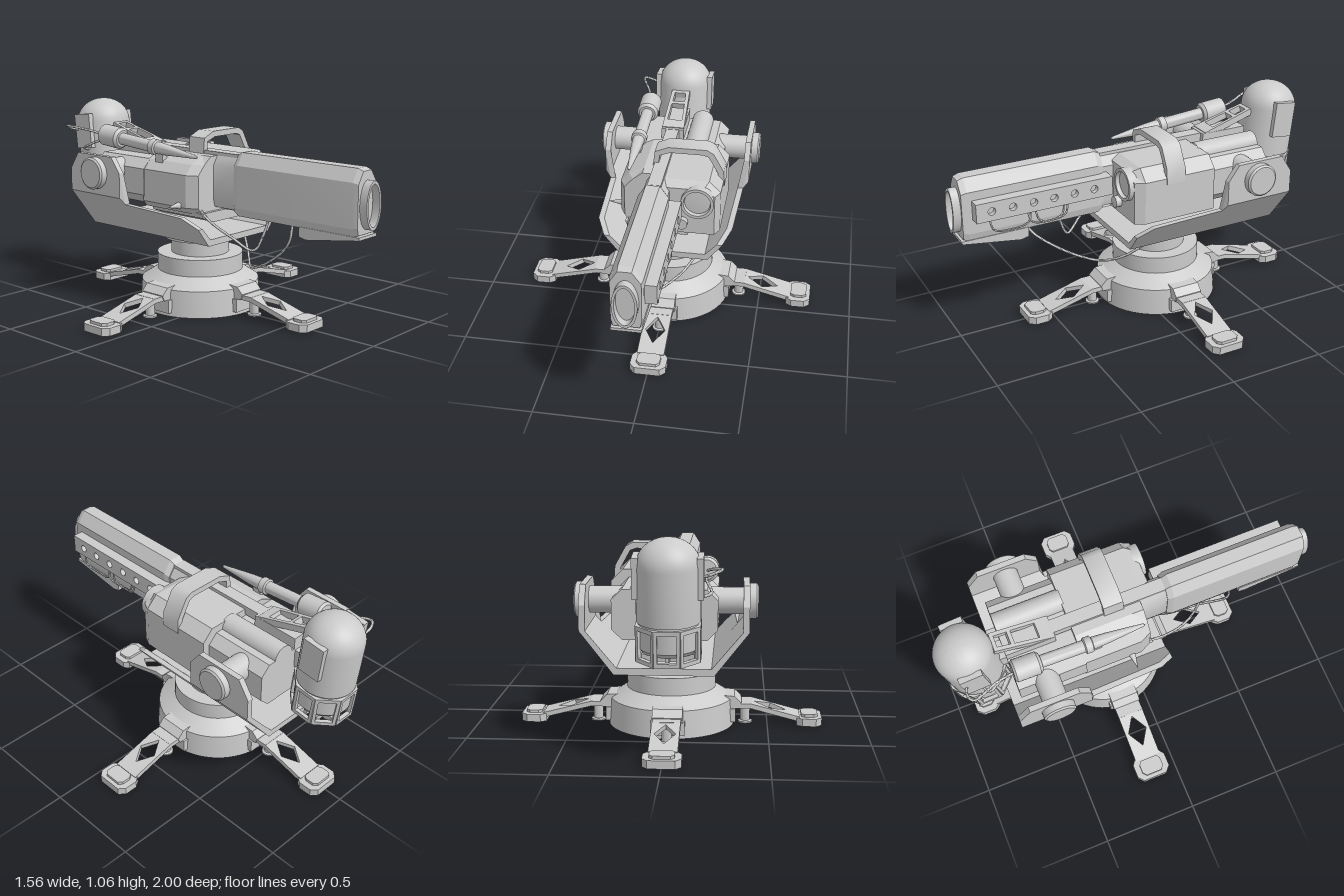
import * as THREE from 'three';
import { toCreasedNormals } from 'three/addons/utils/BufferGeometryUtils.js';

const MAT = new THREE.MeshStandardMaterial({ color: 0xcccccc, side: THREE.DoubleSide });
const V = (x, y, z) => new THREE.Vector3(x, y, z);

function add(parent, name, geo, x = 0, y = 0, z = 0, crease = 0.6) {
  const m = new THREE.Mesh(toCreasedNormals(geo, crease), MAT);
  m.name = name;
  m.position.set(x, y, z);
  parent.add(m);
  return m;
}
const box = (p, name, x0, x1, y0, y1, z0, z1) =>
  add(p, name, new THREE.BoxGeometry(x1 - x0, y1 - y0, z1 - z0), (x0 + x1) / 2, (y0 + y1) / 2, (z0 + z1) / 2);
const lathe = (pts, n = 48) => new THREE.LatheGeometry(pts.map(p => new THREE.Vector2(...p)), n);
const toPath = (pts, C = THREE.Path) => new C(pts.map(p => new THREE.Vector2(...p)));
const circle = (x, y, rx, ry = rx, n = 32) => Array.from({ length: n }, (_, i) => {
  const a = i / n * Math.PI * 2;
  return [x + Math.cos(a) * rx, y + Math.sin(a) * ry];
});
// Extrusion of an outline between two depths, with optional holes
function ext(pts, z0, z1, holes = []) {
  const s = toPath(pts, THREE.Shape);
  s.holes = holes.map(h => toPath(h));
  return new THREE.ExtrudeGeometry(s, { depth: z1 - z0, bevelEnabled: false }).translate(0, 0, z0);
}
// Turned part along z: list of [radius, z]
const turnedZ = (pts, n = 32) => lathe(pts, n).rotateX(Math.PI / 2);
const tube = (p, name, pts, r = 0.007) =>
  add(p, name, new THREE.TubeGeometry(new THREE.CatmullRomCurve3(pts.map(q => V(...q))), 40, r, 8), 0, 0, 0, 1);

// Closed skin through cross-sections {z, pts}, capped at both ends
function loft(sections) {
  const n = sections[0].pts.length, pos = [], idx = [];
  sections.forEach(s => s.pts.forEach(p => pos.push(p[0], p[1], s.z)));
  for (let k = 0; k < sections.length - 1; k++)
    for (let i = 0; i < n; i++) {
      const a = k * n + i, b = k * n + (i + 1) % n;
      idx.push(a, b, b + n, a, b + n, a + n);
    }
  const last = (sections.length - 1) * n;
  const cap = s => THREE.ShapeUtils.triangulateShape(s.pts.map(p => new THREE.Vector2(...p)), []);
  cap(sections[0]).forEach(([a, b, c]) => idx.push(c, b, a));
  cap(sections[sections.length - 1]).forEach(t => idx.push(...t.map(i => i + last)));
  const g = new THREE.BufferGeometry();
  g.setAttribute('position', new THREE.Float32BufferAttribute(pos, 3));
  g.setIndex(idx);
  return g.toNonIndexed();
}

function makeLeg() {
  const leg = new THREE.Group();
  leg.name = 'leg';
  box(leg, 'legRoot', 0.27, 0.42, 0.09, 0.115, -0.07, 0.07);
  // Sloping strut with a diamond opening
  const strut = ext([[0, -0.07], [0.26, -0.07], [0.26, 0.07], [0, 0.07]], -0.025, 0,
    [[[0.02, 0], [0.105, -0.052], [0.19, 0], [0.105, 0.052]]]);
  add(leg, 'legStrut', strut.rotateX(-Math.PI / 2).rotateZ(-0.255), 0.415, 0.115, 0);
  const foot = [[0.65, -0.07], [0.68, -0.092], [0.75, -0.092], [0.78, -0.065], [0.78, 0.065], [0.75, 0.092], [0.68, 0.092], [0.65, 0.07]];
  add(leg, 'foot', ext(foot, 0.005, 0.045).rotateX(-Math.PI / 2));
  add(leg, 'footPad', ext(foot.map(([x, y]) => [0.72 + (x - 0.72) * 0.65, y * 0.65]), 0.04, 0.06).rotateX(-Math.PI / 2));
  add(leg, 'legPeg', lathe([[0, 0], [0.037, 0], [0.037, 0.008], [0.025, 0.012], [0.025, 0.1]], 20), 0.385, 0, 0);
  // Boss where the leg meets the base
  add(leg, 'legBoss', ext([[0.2, 0.09], [0.355, 0.09], [0.365, 0.12], [0.33, 0.155], [0.2, 0.165]], -0.075, 0.075));
  box(leg, 'bossFace', 0.3, 0.335, 0.02, 0.09, -0.085, 0.085);
  return leg;
}

function makeTank() {
  const tank = new THREE.Group();
  tank.name = 'tank';
  tank.position.set(-0.03, 0.93, -0.85);
  tank.rotation.x = -0.11;
  const profile = [[0, -0.39], [0.125, -0.39], [0.14, -0.37], [0.14, -0.25], [0.147, -0.25], [0.147, 0]];
  for (let i = 1; i <= 10; i++) profile.push([0.147 * Math.cos(i * Math.PI / 20), 0.13 * Math.sin(i * Math.PI / 20)]);
  add(tank, 'tankShell', lathe(profile));
  for (const s of [-1, 1]) box(tank, 'tankSidePanel', s * 0.145 - 0.015, s * 0.145 + 0.015, -0.14, 0.05, -0.06, 0.06);
  // Ring of window frames around the lower end
  for (let i = 0; i < 8; i++) {
    const f = add(tank, 'cageFrame', ext([[-0.058, -0.43], [0.058, -0.43], [0.06, -0.26], [-0.06, -0.26]], 0.128, 0.148,
      [[[-0.042, -0.41], [0.042, -0.41], [0.044, -0.28], [-0.044, -0.28]]]));
    f.rotation.y = i * Math.PI / 4;
  }
  for (const o of [-0.06, 0, 0.06]) {
    box(tank, 'grilleBar', o - 0.009, o + 0.009, -0.425, -0.39, -0.12, 0.12);
    box(tank, 'grilleBar', -0.12, 0.12, -0.425, -0.39, o - 0.009, o + 0.009);
  }
  return tank;
}

export function createModel() {
  const root = new THREE.Group();
  root.name = 'turret';

  // Stepped round base and four legs
  const base = new THREE.Group();
  base.name = 'base';
  base.position.z = -0.128;
  add(base, 'pedestal', lathe([[0, 0], [0.325, 0], [0.315, 0.14], [0.23, 0.195], [0.23, 0.285], [0.155, 0.285],
    [0.155, 0.365], [0.19, 0.365], [0.19, 0.392], [0, 0.392]], 64), 0, 0, 0, 0.4);
  for (let i = 0; i < 4; i++) {
    const leg = makeLeg();
    leg.rotation.y = i * Math.PI / 2;
    base.add(leg);
  }
  root.add(base);

  // U-shaped cradle: each section is cut off at its own height
  const uSection = (z, top) => {
    const kneeY = Math.min(top, 0.6);
    const slope = x0 => x0 - (0.6 - kneeY) * 0.78;
    const o = slope(0.397), i = slope(0.367);
    const half = [[0.235, 0.392], [o, kneeY], [o, top], [i, top], [i, kneeY], [0.222, 0.425]];
    return { z, pts: [...half, ...half.map(([x, y]) => [-x, y]).reverse()] };
  };
  add(root, 'cradle', loft([[-0.71, 0.72], [-0.65, 0.81], [-0.39, 0.81], [-0.33, 0.73], [-0.315, 0.565], [0.07, 0.545], [0.15, 0.49]]
    .map(a => uSection(...a))), 0, 0, 0, 0.3);
  for (const s of [-1, 1]) {
    const t = add(root, 'trunnion', lathe([[0.065, 0.1], [0.065, 0.395], [0.085, 0.395], [0.085, 0.43], [0.075, 0.438], [0, 0.438]], 32)
      .rotateZ(-Math.PI / 2), 0, 0.715, -0.51);
    if (s < 0) t.rotation.y = Math.PI;
  }

  // Gun housing
  add(root, 'housingLeft', loft([[-0.31, 0], [0.09, 0], [0.14, 0.025]].map(([z, d]) => ({
    z, pts: [[-0.03, 0.545], [0.29 - d, 0.545], [0.29 - d, 0.77], [0.23 - d, 0.83 - d], [-0.03, 0.83 - d]] }))), 0, 0, 0, 0.2);
  add(root, 'housingRight', loft([[-0.31, 0], [0, 0], [0.06, 0.03]].map(([z, d]) => ({
    z, pts: [[-0.03, 0.54], [-0.22 + d, 0.54], [-0.245 + d, 0.57], [-0.245 + d, 0.74], [-0.2 + d, 0.79], [-0.12, 0.83], [-0.03, 0.83]].reverse() }))), 0, 0, 0, 0.2);
  add(root, 'rearBody', ext([[-0.2, 0.55], [0.2, 0.55], [0.25, 0.6], [0.25, 0.74], [0.2, 0.79], [-0.2, 0.79], [-0.25, 0.74], [-0.25, 0.6]], -0.66, -0.3));
  add(root, 'rearCylinder', turnedZ([[0, -0.66], [0.06, -0.66], [0.06, -0.3]]), 0.1, 0.785, 0);
  add(root, 'belly', ext([[-0.21, 0.545], [-0.2, 0.52], [-0.12, 0.49], [0.12, 0.49], [0.13, 0.52], [0.13, 0.545]], -0.28, 0.08));
  add(root, 'scope', turnedZ([[0.085, 0.08], [0.085, 0.165], [0.07, 0.165], [0.066, 0.145], [0, 0.15]]), 0.178, 0.735, 0);
  add(root, 'frontKnob', turnedZ([[0.03, 0.1], [0.03, 0.17], [0, 0.17]], 16), 0.1, 0.61, 0);
  // Arched guard over the housing
  add(root, 'topGuard', ext([[-0.08, 0.82], [-0.07, 0.91], [0, 0.94], [0.2, 0.94], [0.235, 0.92], [0.29, 0.82], [0.295, 0.74],
    [0.265, 0.74], [0.26, 0.81], [0.21, 0.9], [0.18, 0.91], [0.01, 0.91], [-0.045, 0.89], [-0.05, 0.82]], -0.135, -0.03));

  // Barrel
  const barrel = [[-0.1, 0.54], [0.035, 0.54], [0.045, 0.58], [0.045, 0.8], [0, 0.863], [-0.07, 0.863], [-0.11, 0.8], [-0.11, 0.58]];
  const shrunk = k => barrel.map(([x, y]) => [-0.033 + (x + 0.033) * k, 0.7 + (y - 0.7) * k]);
  add(root, 'barrel', loft([{ z: 0.2, pts: shrunk(0.9) }, { z: 0.23, pts: barrel }, { z: 0.93, pts: barrel }, { z: 0.96, pts: shrunk(0.93) }]), 0, 0, 0, 0.2);
  add(root, 'barrelNeck', ext(shrunk(0.85), 0, 0.21));
  add(root, 'muzzle', ext(circle(-0.032, 0.69, 0.06, 0.118), 0.94, 1, [circle(-0.032, 0.69, 0.047, 0.103)]));
  box(root, 'spine', -0.07, 0, 0.8, 0.848, -0.42, 0.2);
  // Wedge under the muzzle
  add(root, 'underWedge', ext([[-0.97, 0.545], [-0.97, 0.53], [-0.66, 0.485], [-0.62, 0.495], [-0.62, 0.545]], -0.105, 0.04).rotateY(Math.PI / 2));
  // Side panel with a row of holes
  const holes = [], zs = [0.83, 0.72, 0.61, 0.5, 0.39, 0.28];
  zs.forEach(z => holes.push(circle(-z, 0.705, 0.02, 0.02, 16)));
  add(root, 'sidePanel', ext([[-0.91, 0.655], [-0.18, 0.655], [-0.18, 0.755], [-0.91, 0.755]], 0.07, 0.102, holes).rotateY(Math.PI / 2));
  box(root, 'sidePanelBack', 0.03, 0.075, 0.655, 0.755, 0.18, 0.91);

  root.add(makeTank());

  // Slim emitter beside the spine
  const emitter = add(root, 'emitter', turnedZ([[0, -0.07], [0.045, -0.07], [0.058, -0.06], [0.058, 0.06], [0.045, 0.075], [0.032, 0.075],
    [0.032, 0.3], [0.042, 0.305], [0.042, 0.34], [0.032, 0.345], [0.028, 0.42], [0.008, 0.62], [0, 0.63]], 24), -0.195, 0.88, -0.59);
  emitter.rotation.x = 0.08;
  box(root, 'emitterPost', -0.21, -0.175, 0.62, 0.86, -0.25, -0.2);
  const spike = add(root, 'sideSpike', new THREE.ConeGeometry(0.02, 0.09, 12), -0.28, 0.578, -0.05);
  spike.rotation.z = Math.PI / 2;

  // Ladder bracket carrying the tank
  const bracket = new THREE.Group();
  bracket.name = 'tankBracket';
  bracket.position.set(-0.035, 0.84, -0.42);
  bracket.rotation.x = 0.28;
  add(bracket, 'bracketFrame', ext([[-0.06, 0], [0.06, 0], [0.05, 0.3], [-0.05, 0.3]], -0.02, 0.015,
    [[[-0.04, 0.06], [0.04, 0.06], [0.035, 0.19], [-0.035, 0.19]], [[-0.033, 0.21], [0.033, 0.21], [0.03, 0.28], [-0.03, 0.28]]]).rotateX(-Math.PI / 2));
  root.add(bracket);
  box(root, 'bracketBase', -0.095, 0.025, 0.77, 0.85, -0.66, -0.4);
  box(root, 'tankMount', -0.08, 0.02, 0.68, 0.78, -0.75, -0.62);

  // Cables and hoses
  tube(root, 'longCable', [[-0.09, 0.54, 0.57], [-0.1, 0.46, 0.56], [-0.04, 0.34, 0.42], [0.02, 0.247, 0.22], [0.11, 0.29, 0.12], [0.19, 0.385, 0.02]]);
  tube(root, 'shortCable', [[-0.08, 0.54, 0.41], [-0.09, 0.47, 0.39], [-0.11, 0.38, 0.34], [-0.16, 0.44, 0.24], [-0.19, 0.52, 0.1], [-0.185, 0.59, 0.02]]);
  for (const [a, b] of [[0.84, 0.62], [0.64, 0.42], [0.6, 0.44]])
    tube(root, 'panelCable', [[0.085, 0.66, a], [0.09, 0.6, a - 0.02], [0.075, 0.575, (a + b) / 2], [0.09, 0.6, b + 0.02], [0.085, 0.66, b]], 0.005);
  tube(root, 'tankHose', [[-0.2, 0.88, -0.65], [-0.22, 0.9, -0.74], [-0.27, 0.92, -0.88], [-0.22, 0.9, -0.9], [-0.15, 0.88, -0.87]]);
  tube(root, 'tankHose', [[-0.19, 0.86, -0.64], [-0.2, 0.84, -0.72], [-0.22, 0.8, -0.8], [-0.15, 0.78, -0.82]]);
  return root;
}
